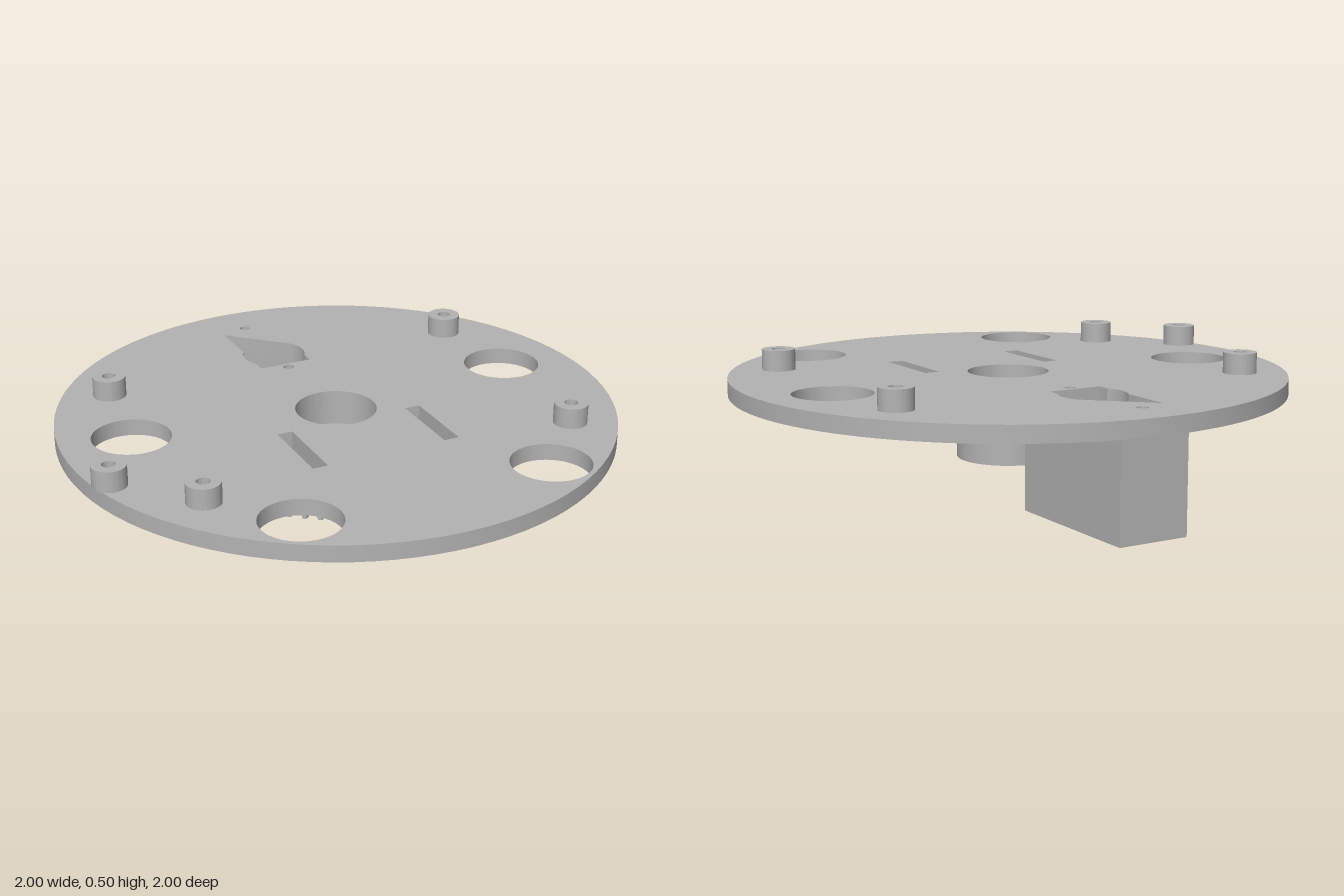
import * as THREE from 'three';
import { toCreasedNormals } from 'three/addons/utils/BufferGeometryUtils.js';

const grey = new THREE.MeshStandardMaterial({ color: 0xb3b3b3 });
grey.name = 'plain grey';

const PLATE_TOP = 0.43, PLATE_BOTTOM = 0.37;

function addPart(group, name, geometry) {
  const mesh = new THREE.Mesh(toCreasedNormals(geometry, 0.5), grey);
  mesh.name = name;
  group.add(mesh);
  return mesh;
}

// Extrudes a plan outline (x, z) between two heights
function slab(shape, bottom, top) {
  const geometry = new THREE.ExtrudeGeometry(shape, { depth: top - bottom, bevelEnabled: false, curveSegments: 48 });
  return geometry.rotateX(Math.PI / 2).translate(0, top, 0);
}

function circle(x, z, r, Kind = THREE.Path) {
  return new Kind().absarc(x, z, r, 0, Math.PI * 2, false);
}

function rect(x0, x1, z0, z1, Kind = THREE.Path) {
  return new Kind().moveTo(x0, z0).lineTo(x1, z0).lineTo(x1, z1).lineTo(x0, z1).closePath();
}

// Rectangular motor pocket with a round bulge on both long sides
function pocket(z0, z1) {
  const half = 0.1, r = 0.118, zc = -0.55, a = Math.acos(half / r);
  return new THREE.Path()
    .moveTo(half, z0)
    .absarc(0, zc, r, -a, a, false)
    .lineTo(half, z1)
    .lineTo(-half, z1)
    .absarc(0, zc, r, Math.PI - a, Math.PI + a, false)
    .lineTo(-half, z0)
    .closePath();
}

const slots = () => [-1, 1].map(s => rect(s * 0.25 - 0.028, s * 0.25 + 0.028, 0.11, 0.4));

// Toothed sector outline, fanned around the hub
function sectorShape() {
  const start = THREE.MathUtils.degToRad(16.5), end = Math.PI - start;
  const teeth = 26, root = 0.517, tip = 0.555, inner = 0.165;
  const pitch = (end - start) / teeth;
  const points = [];
  const polar = (r, a) => points.push(new THREE.Vector2(r * Math.cos(a), r * Math.sin(a)));
  for (let i = 0; i < teeth; i++) {
    const a = start + i * pitch;
    polar(root, a);
    polar(root, a + pitch * 0.2);
    polar(tip, a + pitch * 0.36);
    polar(tip, a + pitch * 0.64);
    polar(root, a + pitch * 0.8);
  }
  polar(root, end);
  for (let i = 0; i <= 24; i++) polar(inner, end + (start - end) * i / 24);
  return new THREE.Shape(points);
}

export function createModel() {
  const model = new THREE.Group();
  model.name = 'roundBasePlate';

  // Round plate with all its openings
  const plate = circle(0, 0, 1, THREE.Shape);
  plate.holes.push(
    circle(0, 0, 0.146),
    pocket(-0.805, -0.44),
    circle(0, -0.835, 0.02),
    circle(0, -0.41, 0.02),
    ...slots()
  );
  for (const s of [-1, 1]) plate.holes.push(circle(s * 0.74, -0.093, 0.14), circle(s * 0.462, 0.705, 0.14));
  addPart(model, 'plate', slab(plate, PLATE_BOTTOM, PLATE_TOP));

  // Hub with a recess on each side of an inner lip
  const hubProfile = [
    [0.146, 0.12], [0.185, 0.12], [0.185, PLATE_BOTTOM], [0.146, PLATE_BOTTOM],
    [0.146, 0.3], [0.1, 0.3], [0.1, 0.18], [0.146, 0.18], [0.146, 0.12]
  ].map(p => new THREE.Vector2(...p));
  addPart(model, 'hub', new THREE.LatheGeometry(hubProfile, 72));

  // Gear sector under the plate
  const sector = sectorShape();
  sector.holes.push(...slots());
  addPart(model, 'gearSector', slab(sector, 0.275, PLATE_BOTTOM));

  // Open motor housing hanging at the back
  const housing = rect(-0.132, 0.132, -0.905, -0.332, THREE.Shape);
  housing.holes.push(pocket(-0.875, -0.362));
  addPart(model, 'motorHousing', slab(housing, 0, PLATE_BOTTOM));

  // Standoff posts with blind screw holes
  const posts = [[-0.692, -0.46], [0.692, -0.46], [-0.692, 0.462], [0.692, 0.462], [-0.925, 0.217]];
  for (const [x, z] of posts) {
    const ring = circle(x, z, 0.06, THREE.Shape);
    ring.holes.push(circle(x, z, 0.024));
    addPart(model, 'post', slab(ring, PLATE_TOP, 0.505));
  }
  return model;
}
